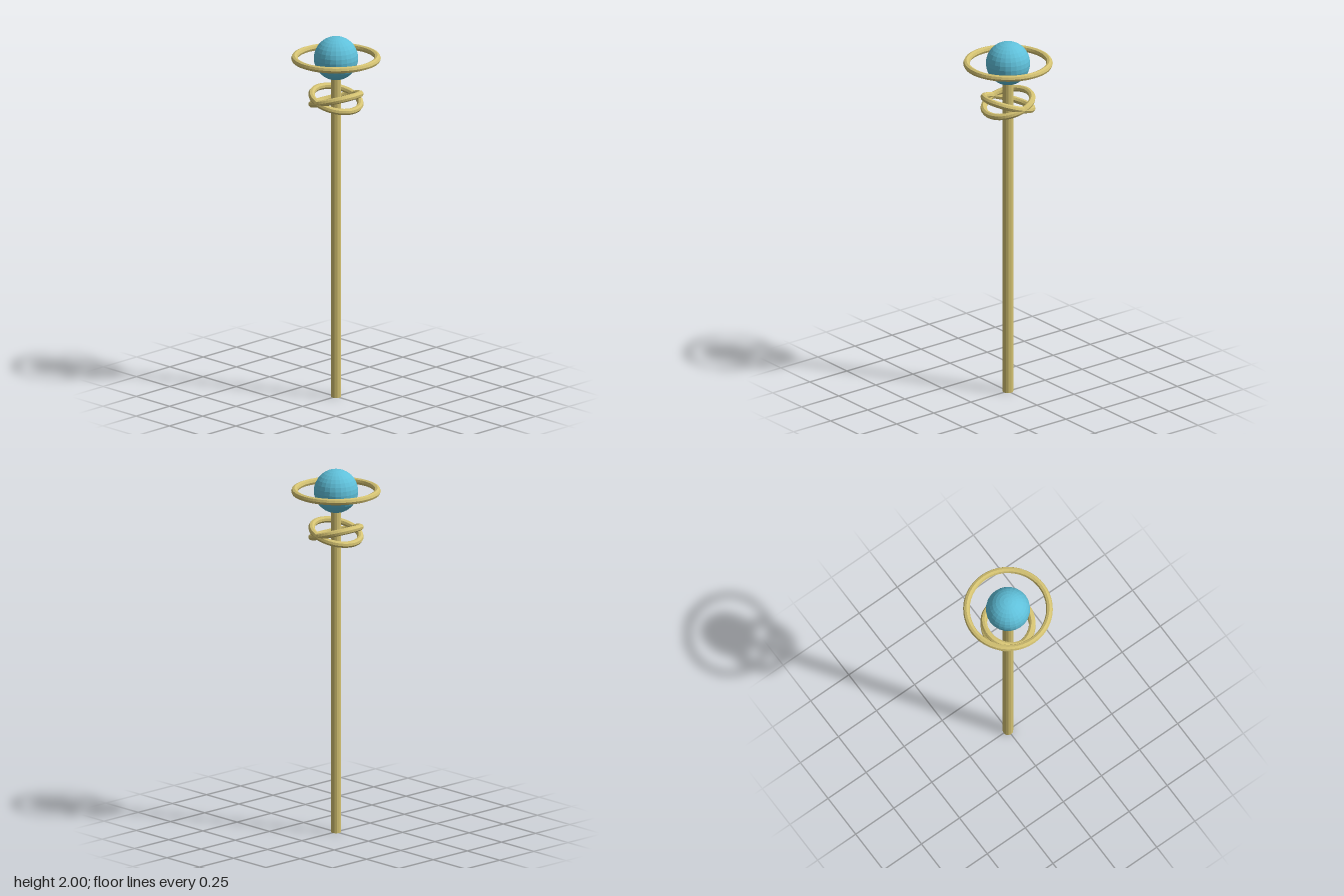
import * as THREE from 'three';

export function createModel() {
  const gold = new THREE.MeshStandardMaterial({ color: 0xd4c272, flatShading: true });
  gold.name = 'pale gold';
  const blue = new THREE.MeshStandardMaterial({ color: 0x5fc0da, flatShading: true });
  blue.name = 'sky blue';

  const group = new THREE.Group();
  group.name = 'staff';

  const add = (name, geometry, material, y) => {
    const mesh = new THREE.Mesh(geometry, material);
    mesh.name = name;
    mesh.position.y = y;
    group.add(mesh);
    return mesh;
  };

  const orbY = 1.882;
  const tube = 0.0176;

  // Long shaft, ending just inside the orb
  const shaftTop = 1.77;
  add('shaft', new THREE.CylinderGeometry(0.0285, 0.0285, shaftTop, 12), gold, shaftTop / 2);

  // Orb with a level ring around it
  add('orb', new THREE.SphereGeometry(0.118, 24, 16), blue, orbY);
  add('orbRing', new THREE.TorusGeometry(0.2206, tube, 8, 48), gold, orbY).rotation.x = Math.PI / 2;

  // Two crossed rings below the orb, tilted opposite ways
  for (const side of [-1, 1]) {
    const ring = add(side < 0 ? 'crossedRingA' : 'crossedRingB',
      new THREE.TorusGeometry(0.1324, tube, 8, 48), gold, 1.655);
    ring.rotation.x = Math.PI / 2 + side * 0.3;
  }

  return group;
}
